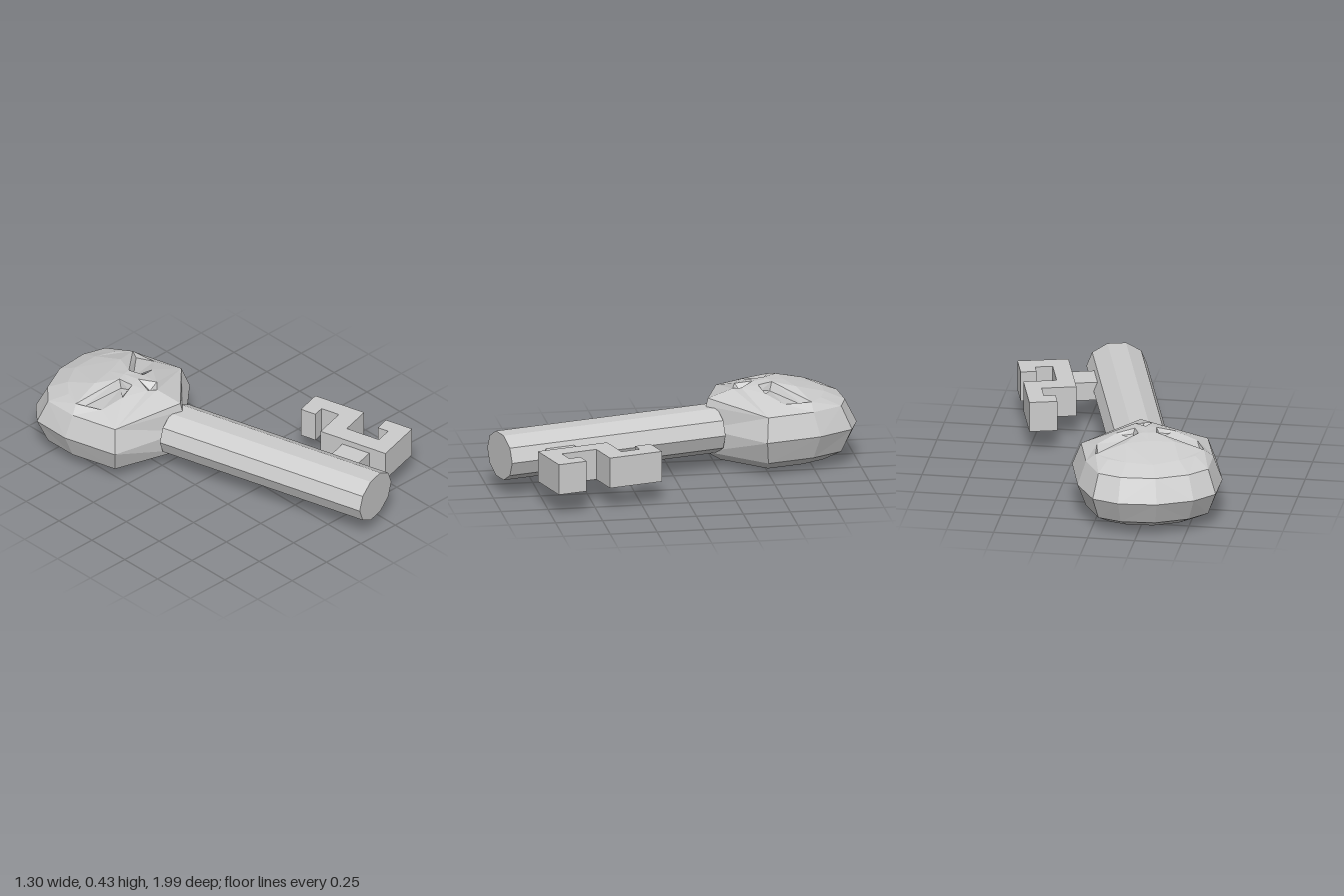
import * as THREE from 'three';

const material = new THREE.MeshStandardMaterial({ color: 0xcccccc, flatShading: true });

function addMesh(parent, geometry, name) {
  const mesh = new THREE.Mesh(geometry, material);
  mesh.name = name;
  parent.add(mesh);
  return mesh;
}

// Collects polygons given for the +x half, turns each the right way and mirrors it
function mirroredGeometry(polygons) {
  const positions = [];
  const center = new THREE.Vector3(0, 0.2, -0.6);
  for (const { points, up } of polygons) {
    for (let i = 1; i + 1 < points.length; i++) {
      let [a, b, c] = [points[0], points[i], points[i + 1]].map((p) => new THREE.Vector3(...p));
      const normal = b.clone().sub(a).cross(c.clone().sub(a));
      if (normal.length() < 1e-8) continue;
      const outward = up
        ? new THREE.Vector3(0, 1, 0)
        : a.clone().add(b).add(c).divideScalar(3).sub(center);
      if (normal.dot(outward) < 0) [b, c] = [c, b];
      for (const p of [a, b, c]) positions.push(p.x, p.y, p.z);
      for (const p of [a, c, b]) positions.push(-p.x, p.y, p.z);
    }
  }
  const geometry = new THREE.BufferGeometry();
  geometry.setAttribute('position', new THREE.Float32BufferAttribute(positions, 3));
  geometry.computeVertexNormals();
  return geometry;
}

// Half outlines of the skull in x and z, from the crown round to the chin
const equator = [[0, -1.046], [0.2, -1.01], [0.325, -0.927], [0.383, -0.72], [0.38, -0.415], [0, -0.218]];
const rim = [[0, -0.985], [0.18, -0.95], [0.29, -0.88], [0.337, -0.7], [0.335, -0.44], [0, -0.23]];
const atHeight = (outline, y) => outline.map(([x, z]) => [x, y, z]);
const shrunk = (s, y) => rim.map(([x, z]) => [x * s, y, -0.58 + (z + 0.58) * s]);

function skullGeometry() {
  const polygons = [];
  const top = atHeight(rim, 0.33);
  // Rounded back and sides
  const rings = [top, atHeight(equator, 0.205), atHeight(rim, 0.08), shrunk(0.76, 0.027), shrunk(0.35, 0.002)];
  for (let r = 0; r + 1 < rings.length; r++) {
    for (let i = 0; i < 5; i++) {
      polygons.push({ points: [rings[r][i], rings[r][i + 1], rings[r + 1][i + 1], rings[r + 1][i]] });
    }
  }
  polygons.push({ points: rings[rings.length - 1] });

  // Face landmarks
  const v = {
    F0: [0, 0.37, -0.89], F1: [0.14, 0.375, -0.85], F2: [0.23, 0.372, -0.79],
    M0: [0, 0.422, -0.68], M1: [0.13, 0.418, -0.69], B0: [0, 0.435, -0.59],
    // eye opening
    E0: [0.048, 0.433, -0.588], E1: [0.287, 0.372, -0.71], E2: [0.265, 0.37, -0.565],
    E3: [0.152, 0.405, -0.505], E4: [0.057, 0.428, -0.505],
    // eye floor
    D0: [0.062, 0.388, -0.57], D1: [0.272, 0.348, -0.68], D3: [0.145, 0.392, -0.517], D4: [0.068, 0.4, -0.517],
    // nose and chin
    N0: [0, 0.435, -0.5], N1: [0.045, 0.42, -0.415], N2: [0, 0.408, -0.385],
    P: [0, 0.385, -0.43], C: [0, 0.372, -0.242],
  };
  top.forEach((p, i) => { v['R' + i] = p; });
  const faces = [
    // forehead and temple
    'R0 R1 F1 F0', 'R1 R2 F2 F1', 'R2 R3 E1 F2', 'F0 F1 M1 M0', 'F1 F2 E1 M1', 'M0 M1 E0 B0', 'M1 E1 E0',
    'R3 R4 E2 E1',
    // cheek, jaw and nose bridge
    'R4 E2 E3', 'R4 E3 N1', 'E3 E4 N1', 'R4 N1 N2 C', 'R4 C R5', 'B0 E0 E4 N0', 'E4 N0 N1',
    // eye socket
    'E0 E1 D1 D0', 'E0 D0 D4 E4', 'E4 D4 D3 E3', 'E1 D1 E2', 'D0 D1 E2', 'D0 E2 E3 D3', 'D0 D3 D4',
    // nose hollow
    'N0 N1 P', 'N1 N2 P',
  ];
  for (const face of faces) polygons.push({ points: face.split(' ').map((k) => v[k]), up: true });
  return mirroredGeometry(polygons);
}

export function createModel() {
  const model = new THREE.Group();
  model.name = 'skullKey';

  // The key lies flat, turned a little about the vertical
  const key = new THREE.Group();
  key.name = 'key';
  key.rotation.y = Math.PI / 12;
  key.position.set(-0.094, 0, 0.025);
  model.add(key);

  addMesh(key, skullGeometry(), 'skullBow');

  // Ten-sided, slightly flattened shaft
  const shaft = new THREE.CylinderGeometry(0.16, 0.16, 1.23, 10);
  shaft.rotateY(Math.PI / 2).rotateX(Math.PI / 2).scale(1, 0.8, 1);
  addMesh(key, shaft, 'shaft').position.set(0, 0.205, 0.343);

  // Hooked bit
  const outline = [
    [0.265, 0.459], [0.449, 0.459], [0.449, 0.353], [0.387, 0.353], [0.387, 0.263], [0.535, 0.263], [0.535, 0.563],
    [0.359, 0.563], [0.359, 0.761], [0.451, 0.761], [0.451, 0.698], [0.535, 0.698], [0.535, 0.858], [0.265, 0.858],
  ];
  const shape = new THREE.Shape(outline.map(([x, z]) => new THREE.Vector2(x, z)));
  const bit = new THREE.ExtrudeGeometry(shape, { depth: 0.165, bevelEnabled: false });
  bit.rotateX(Math.PI / 2);
  addMesh(key, bit, 'bit').position.y = 0.288;

  // Stem joining the bit to the shaft
  addMesh(key, new THREE.BoxGeometry(0.15, 0.1, 0.165), 'bitStem').position.set(0.19, 0.205, 0.676);

  return model;
}
